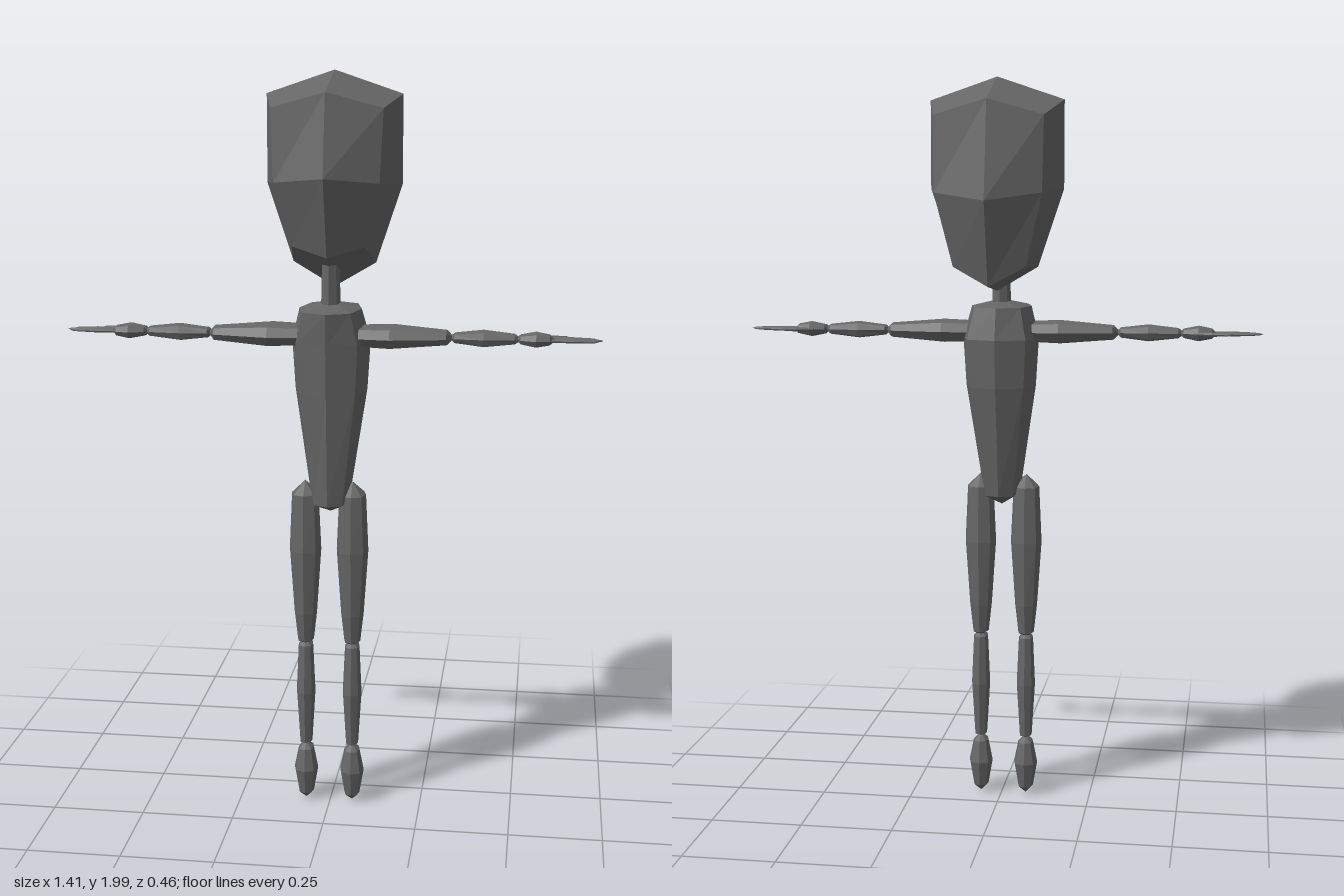
import * as THREE from 'three';

const grey = new THREE.MeshStandardMaterial({ color: 0x666666, flatShading: true });
grey.name = 'dark grey';

// Skins a stack of eight-point rings (bottom to top) and closes it with pointed caps.
function loft(name, rings, bottom, top) {
  const pos = [];
  const tri = (...pts) => pts.forEach((p) => pos.push(...p));
  for (let k = 0; k < 8; k++) {
    const n = (k + 1) % 8;
    for (let i = 0; i < rings.length - 1; i++) {
      const a = rings[i], b = rings[i + 1];
      tri(a[k], a[n], b[n]);
      tri(a[k], b[n], b[k]);
    }
    const last = rings[rings.length - 1];
    tri(bottom, rings[0][n], rings[0][k]);
    tri(top, last[k], last[n]);
  }
  const geo = new THREE.BufferGeometry();
  geo.setAttribute('position', new THREE.Float32BufferAttribute(pos, 3));
  geo.computeVertexNormals();
  const mesh = new THREE.Mesh(geo, grey);
  mesh.name = name;
  return mesh;
}

// Ring from five points of its +x half, front to back.
const mirrored = (half) => [...half, ...half.slice(1, 4).reverse().map(([x, y, z]) => [-x, y, z])];

// Softened box section at height y, spanning zBack to zFront.
function section(y, hx, zBack, zFront, c = 0.76) {
  const m = (zBack + zFront) / 2, h = (zFront - zBack) / 2;
  return mirrored([[0, y, m + h], [hx * c, y, m + h * c], [hx, y, m], [hx * c, y, m - h * c], [0, y, m - h]]);
}

// Limb segment along y: profile rows are [y, half width x, half depth z].
function segment(name, profile, y0, y1) {
  return loft(name, profile.map(([y, hx, hz]) => section(y, hx, -hz, hz)), [0, y0, 0], [0, y1, 0]);
}

function leg(side) {
  const g = new THREE.Group();
  g.name = side > 0 ? 'leftLeg' : 'rightLeg';
  g.add(
    segment('thigh', [[0.48, 0.022, 0.03], [0.56, 0.031, 0.042], [0.74, 0.043, 0.052], [0.895, 0.036, 0.042]], 0.465, 0.93),
    segment('shin', [[0.18, 0.017, 0.026], [0.33, 0.026, 0.039], [0.465, 0.02, 0.029]], 0.17, 0.485),
    segment('foot', [[0.03, 0.021, 0.028], [0.1, 0.033, 0.042], [0.16, 0.021, 0.029]], 0.008, 0.18),
  );
  g.position.set(side * 0.064 - 0.004, 0, 0.09);
  return g;
}

// Arm is modelled along y, then swung out to the side.
function arm(side) {
  const g = new THREE.Group();
  g.name = side > 0 ? 'leftArm' : 'rightArm';
  g.add(
    segment('upperArm', [[0.06, 0.028, 0.056], [0.16, 0.032, 0.066], [0.305, 0.02, 0.038]], 0.03, 0.325),
    segment('forearm', [[0.325, 0.014, 0.024], [0.4, 0.023, 0.029], [0.48, 0.014, 0.021]], 0.31, 0.5),
    segment('palm', [[0.495, 0.013, 0.024], [0.535, 0.021, 0.037], [0.57, 0.014, 0.028]], 0.48, 0.585),
  );
  // Fingers as [z offset, tip]
  [[-0.02, 0.692], [-0.002, 0.707], [0.016, 0.695]].forEach(([z, tip], i) => {
    const f = segment('finger' + (i + 1),
      [[0.565, 0.004, 0.005], [0.63, 0.005, 0.007], [tip - 0.01, 0.003, 0.004]], 0.555, tip);
    f.position.z = z;
    g.add(f);
  });
  const thumb = segment('thumb', [[0.01, 0.005, 0.006], [0.055, 0.006, 0.008], [0.1, 0.003, 0.004]], 0, 0.108);
  thumb.position.set(0, 0.515, -0.026);
  thumb.rotation.x = -0.17;
  g.add(thumb);
  g.rotation.z = -side * Math.PI / 2;
  g.position.set(0, 1.325, 0.09);
  return g;
}

export function createModel() {
  const model = new THREE.Group();
  model.name = 'figure';

  // Large tapered head
  model.add(loft('head', [
    mirrored([[0, 1.535, 0.165], [0.095, 1.56, 0.13], [0.11, 1.505, 0], [0.095, 1.51, -0.145], [0, 1.46, -0.17]]),
    mirrored([[0, 1.74, 0.232], [0.135, 1.725, 0.17], [0.178, 1.71, 0], [0.14, 1.7, -0.17], [0, 1.68, -0.233]]),
    mirrored([[0, 1.95, 0.19], [0.143, 1.91, 0.155], [0.178, 1.94, 0], [0.143, 1.895, -0.16], [0, 1.935, -0.188]]),
  ], [0, 1.44, 0], [0, 2, 0]));

  // Neck
  model.add(loft('neck', [section(1.39, 0.026, 0.036, 0.122), section(1.56, 0.022, 0.04, 0.12)],
    [0, 1.38, 0.08], [0, 1.58, 0.08]));

  // Torso, narrowing to the hips
  model.add(loft('torso', [
    section(0.875, 0.05, 0.018, 0.16),
    section(1.18, 0.096, -0.042, 0.181),
    section(1.31, 0.104, -0.053, 0.19),
    section(1.395, 0.082, -0.03, 0.197),
  ], [0, 0.845, 0.085], [0, 1.415, 0.08]));

  for (const side of [1, -1]) model.add(arm(side), leg(side));
  return model;
}
